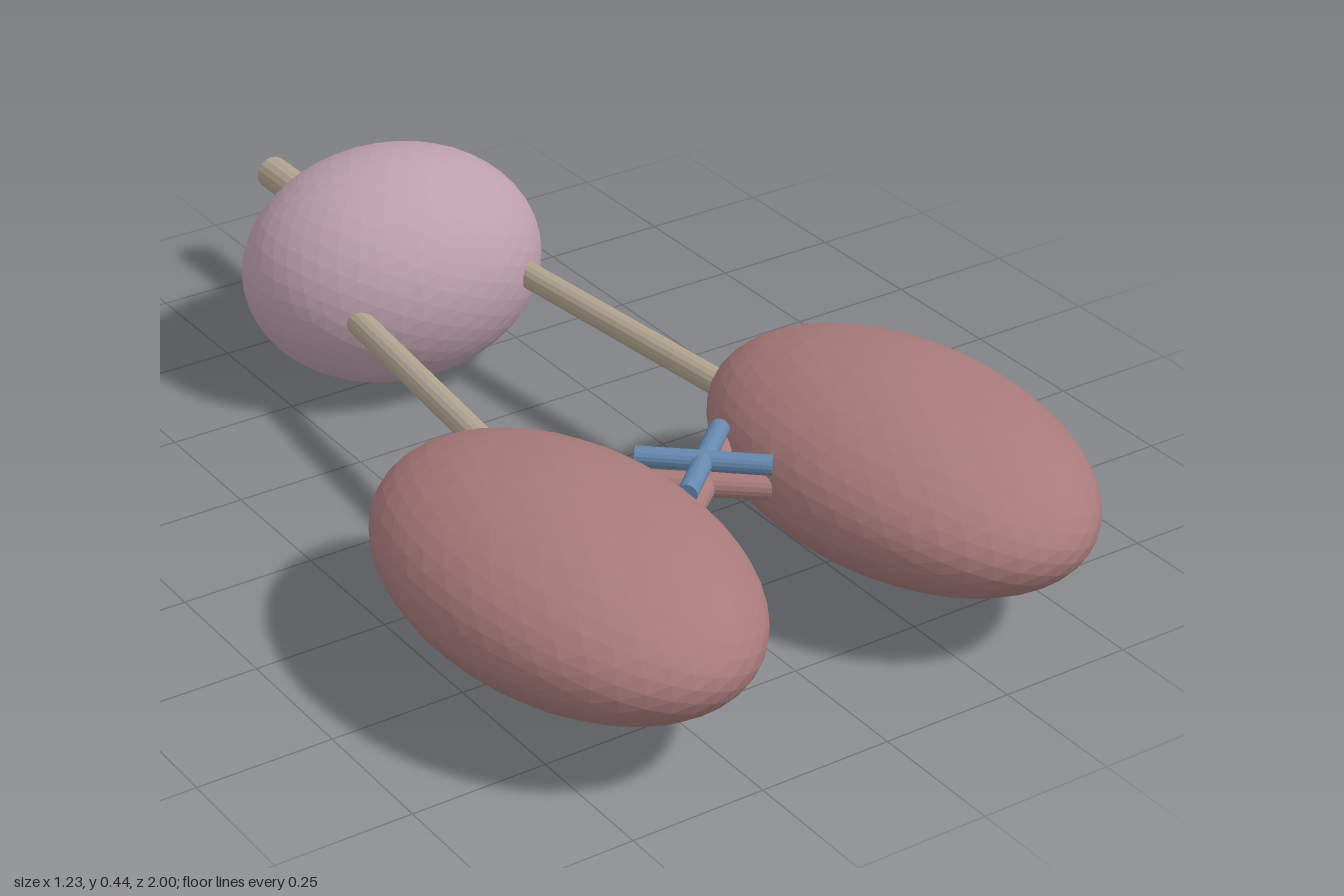
import * as THREE from 'three';

const flat = (name, color) => {
  const m = new THREE.MeshStandardMaterial({ color, flatShading: true });
  m.name = name;
  return m;
};

export function createModel() {
  const model = new THREE.Group();
  const red = flat('dusty red', 0xa87a7a);
  const mauve = flat('mauve', 0xbd9fad);
  const tan = flat('tan', 0xb0a38f);
  const blue = flat('steel blue', 0x6688ad);

  const ellipsoid = (name, mat, pos, radii) => {
    const mesh = new THREE.Mesh(new THREE.IcosahedronGeometry(1, 7), mat);
    mesh.name = name;
    mesh.position.set(...pos);
    mesh.scale.set(...radii);
    model.add(mesh);
  };

  // Round bar between two points
  const rod = (name, mat, from, to, radius) => {
    const a = new THREE.Vector3(...from), b = new THREE.Vector3(...to);
    const dir = b.clone().sub(a);
    const mesh = new THREE.Mesh(new THREE.CylinderGeometry(radius, radius, dir.length(), 16), mat);
    mesh.name = name;
    mesh.position.copy(a).add(b).multiplyScalar(0.5);
    mesh.quaternion.setFromUnitVectors(new THREE.Vector3(0, 1, 0), dir.normalize());
    model.add(mesh);
  };

  // Rear bulb and its stem
  ellipsoid('rearBulb', mauve, [0, 0.223, -0.54], [0.295, 0.219, 0.248]);
  rod('rearStem', tan, [0, 0.225, -0.72], [0, 0.225, -1], 0.033);

  for (const s of [-1, 1]) {
    const side = s > 0 ? 'left' : 'right';
    // Front lobe and the tube joining it to the bulb
    ellipsoid(side + 'Lobe', red, [s * 0.345, 0.224, 0.572], [0.272, 0.159, 0.428]);
    rod(side + 'Tube', tan, [s * 0.175, 0.225, -0.42], [s * 0.243, 0.225, 0.28], 0.025);
    // Crossed bars between the lobes, blue above red
    rod(side + 'UpperCrossBar', blue, [-0.088, 0.277, 0.475 - s * 0.077], [0.088, 0.277, 0.475 + s * 0.077], 0.018);
    rod(side + 'LowerCrossBar', red, [-0.1, 0.234, 0.482 - s * 0.082], [0.1, 0.234, 0.482 + s * 0.082], 0.021);
  }
  return model;
}
